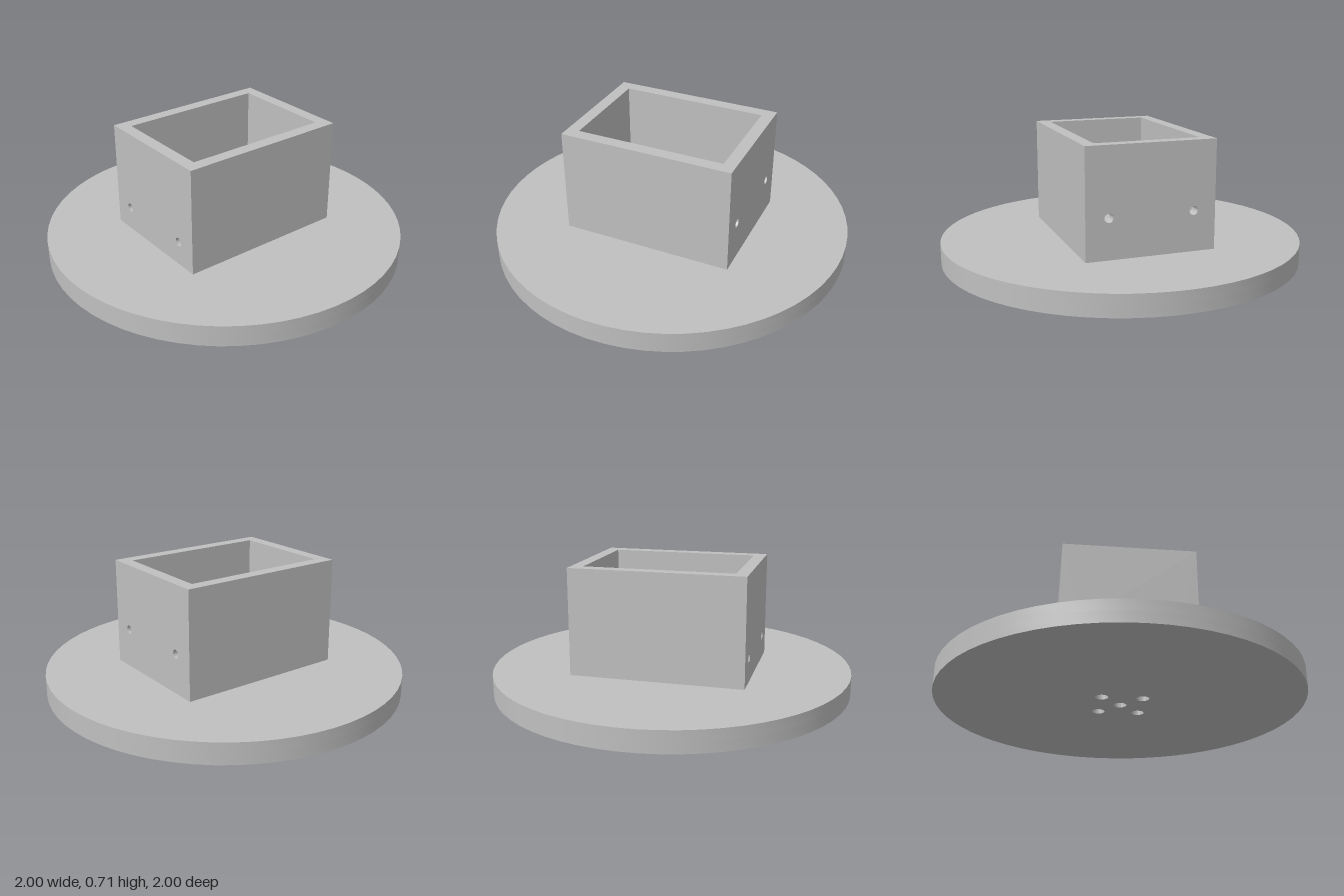
import * as THREE from 'three';
import { toCreasedNormals } from 'three/addons/utils/BufferGeometryUtils.js';

const grey = new THREE.MeshStandardMaterial({ color: 0xc0c0c0 });
grey.name = 'plain grey';

function circle(PathType, x, y, r) {
  const path = new PathType();
  path.absarc(x, y, r, 0, Math.PI * 2);
  return path;
}

// Extrudes a shape along z, with smooth hole walls and sharp edges
function slab(name, shape, depth, curveSegments) {
  const geo = new THREE.ExtrudeGeometry(shape, { depth, bevelEnabled: false, curveSegments });
  const mesh = new THREE.Mesh(toCreasedNormals(geo, 0.6), grey);
  mesh.name = name;
  return mesh;
}

export function createModel() {
  const model = new THREE.Group();
  model.name = 'mountingBase';
  const plateH = 0.116, layerH = plateH / 2, top = 0.706;
  const halfX = 0.355, halfZ = 0.478, wall = 0.068;
  const bolts = [[-0.11, -0.11], [0.11, -0.11], [-0.11, 0.11], [0.11, 0.11]];

  // Round plate: bolt holes and a blind centre hole below, counterbores above
  const layers = [
    ['plateBottom', [...bolts, [0, 0]], 0.035],
    ['plateTop', bolts, 0.07],
  ];
  layers.forEach(([name, holes, r], i) => {
    const disc = circle(THREE.Shape, 0, 0, 1);
    for (const [x, z] of holes) disc.holes.push(circle(THREE.Path, x, z, r));
    const mesh = slab(name, disc, layerH, 32);
    mesh.rotation.x = -Math.PI / 2;
    mesh.position.y = i * layerH;
    model.add(mesh);
  });

  // Open box: end walls with a pair of pin holes, higher at the back
  const ends = [
    ['frontWall', halfZ - wall, 0.25],
    ['backWall', -halfZ, 0.335],
  ];
  for (const [name, z, holeY] of ends) {
    const face = new THREE.Shape([
      new THREE.Vector2(-halfX, plateH), new THREE.Vector2(halfX, plateH),
      new THREE.Vector2(halfX, top), new THREE.Vector2(-halfX, top),
    ]);
    for (const x of [-0.232, 0.232]) face.holes.push(circle(THREE.Path, x, holeY, 0.024));
    const mesh = slab(name, face, wall, 24);
    mesh.position.z = z;
    model.add(mesh);
  }

  // Plain side walls between the end walls
  for (const side of [-1, 1]) {
    const mesh = new THREE.Mesh(
      new THREE.BoxGeometry(wall, top - plateH, 2 * (halfZ - wall)), grey);
    mesh.name = side > 0 ? 'leftWall' : 'rightWall';
    mesh.position.set(side * (halfX - wall / 2), (top + plateH) / 2, 0);
    model.add(mesh);
  }
  return model;
}
